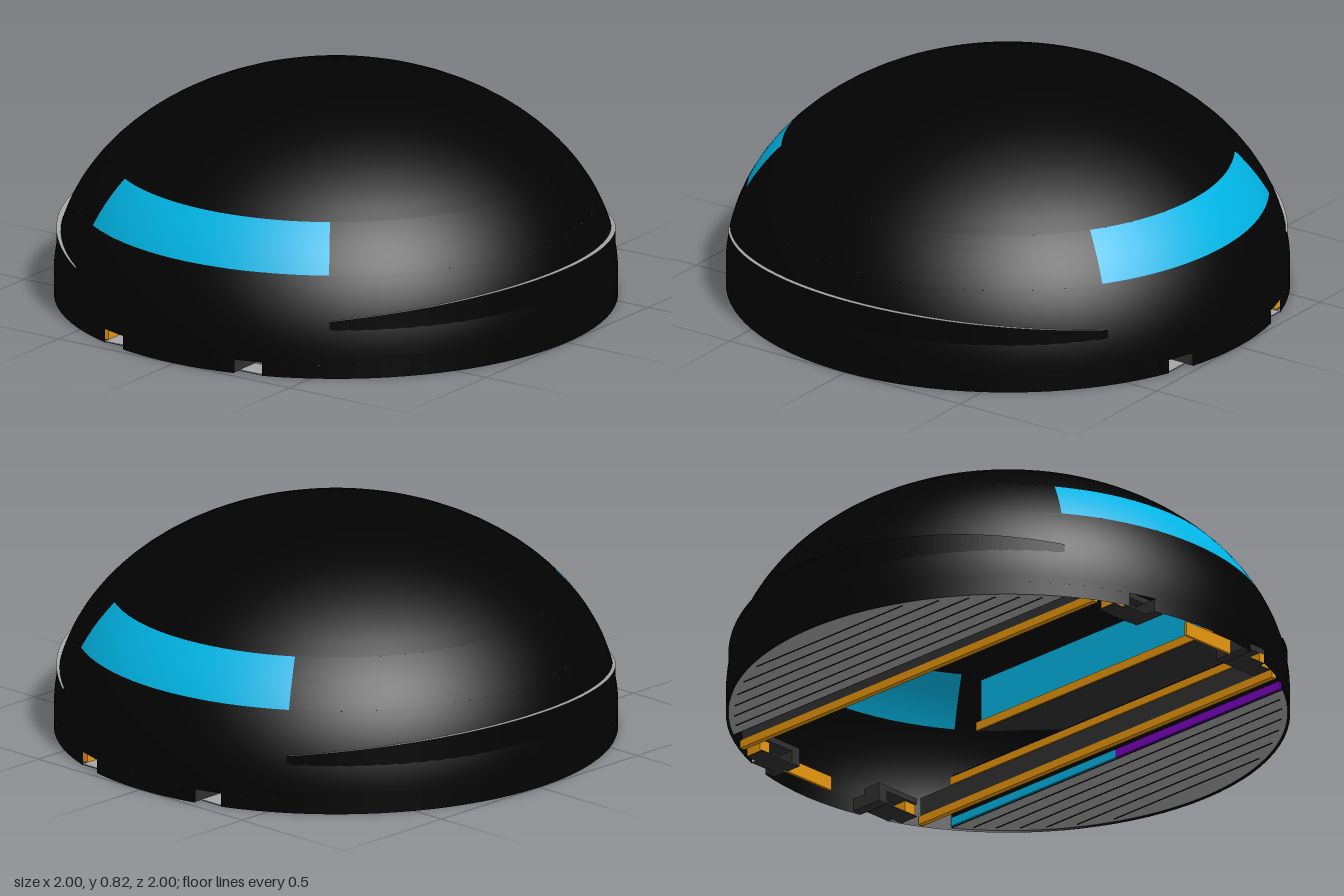
import * as THREE from 'three';

const mat = (name, color, side = THREE.FrontSide) => {
  const m = new THREE.MeshStandardMaterial({ color, side });
  m.name = name;
  return m;
};

export function createModel() {
  const black = mat('shell black', 0x020202, THREE.DoubleSide);
  const cyan = mat('cyan glass', 0x00b4e4, THREE.DoubleSide);
  const gray = mat('deck gray', 0xa6a6a6);
  const dark = mat('dark gray', 0x303030);
  const orange = mat('orange trim', 0xf8a20a);
  const purple = mat('purple light', 0x7a00c0);

  const model = new THREE.Group();
  model.name = 'domedPod';
  const add = (parent, name, geo, m) => {
    const mesh = new THREE.Mesh(geo, m);
    mesh.name = name;
    parent.add(mesh);
    return mesh;
  };
  // box given by its limits on each axis
  const box = (parent, name, m, x0, x1, y0, y1, z0, z1) =>
    add(parent, name, new THREE.BoxGeometry(x1 - x0, y1 - y0, z1 - z0), m)
      .position.set((x0 + x1) / 2, (y0 + y1) / 2, (z0 + z1) / 2);

  // Dome: an ellipse standing on a short straight skirt
  const BASE = 0.08, RISE = 0.74;
  const shell = (name, m, y0, y1, from, to) => {
    const pts = [];
    if (y1 <= BASE) pts.push(new THREE.Vector2(1, y0), new THREE.Vector2(1, y1));
    else {
      const t0 = Math.asin((y0 - BASE) / RISE);
      const t1 = Math.asin(Math.min(1, (y1 - BASE) / RISE));
      for (let i = 0; i <= 14; i++) {
        const t = t0 + (t1 - t0) * i / 14;
        pts.push(new THREE.Vector2(Math.max(0, Math.cos(t)), BASE + RISE * Math.sin(t)));
      }
    }
    const seg = Math.max(2, Math.ceil((to - from) / (Math.PI * 2) * 96));
    add(model, name, new THREE.LatheGeometry(pts, seg, from, to - from), m);
  };
  const TAU = Math.PI * 2, HALF = Math.PI / 2;
  shell('skirt', black, 0.05, BASE, 0, TAU);
  shell('lowerDome', black, BASE, 0.36, 0, TAU);
  shell('upperDome', black, 0.52, BASE + RISE, 0, TAU);
  const W = 0.585;                                  // half angle of a window
  const n0 = Math.asin(0.24), n1 = Math.asin(0.34); // notch limits
  for (const c of [HALF, 3 * HALF]) {
    shell('sideWindow', cyan, 0.36, 0.52, c - W, c + W);
    shell('windowPillar', black, 0.36, 0.52, c + W, c + Math.PI - W);
    // skirt foot, leaving two notches on each side
    shell('skirtFoot', black, 0, 0.05, c - n0, c + n0);
    shell('skirtFoot', black, 0, 0.05, c + n1, c + Math.PI - n1);
  }

  // One end: deck with a sloping top, inner wall and console (built at -z)
  const buildEnd = name => {
    const end = new THREE.Group();
    end.name = name;
    const R = 0.991, CUT = 0.55, a = Math.asin(CUT / R);
    const shape = new THREE.Shape();
    shape.absarc(0, 0, R, a, Math.PI - a, false);
    shape.closePath();
    const geo = new THREE.ExtrudeGeometry(shape, { depth: 0.2, bevelEnabled: false, curveSegments: 48 });
    geo.rotateX(-HALF);
    const p = geo.attributes.position;
    for (let i = 0; i < p.count; i++) {
      p.setY(i, p.getY(i) > 0.1 ? 0.21 + 0.14 * (-p.getZ(i) - 0.56) : 0.004);
    }
    geo.computeVertexNormals();
    add(end, 'deck', geo, [gray, black]);
    // grooves under the deck
    for (let z = 0.6; z < 0.95; z += 0.06) {
      const h = Math.sqrt(0.97 ** 2 - z * z);
      box(end, 'deckGroove', black, -h, h, 0.002, 0.006, -z - 0.002, -z + 0.002);
    }
    // two-tone light strip on the deck's inner edge
    box(end, 'purpleStrip', purple, 0, 0.82, 0.008, 0.04, -0.55, -0.542);
    box(end, 'cyanStrip', cyan, -0.82, 0, 0.008, 0.04, -0.55, -0.542);
    // low inner wall with orange edging
    box(end, 'lowerWall', dark, -0.87, 0.87, 0.03, 0.1, -0.46, -0.44);
    box(end, 'lowerTrim', orange, -0.88, 0.88, 0, 0.03, -0.46, -0.44);
    box(end, 'middleTrim', orange, -0.72, 0.72, 0.1, 0.13, -0.46, -0.435);
    // tapered console desk carrying a cyan screen
    const desk = new THREE.Shape([[-0.64, 0.49], [0.64, 0.49], [0.4, 0.7], [-0.4, 0.7]]
      .map(([x, y]) => new THREE.Vector2(x, y)));
    const deskGeo = new THREE.ExtrudeGeometry(desk, { depth: 0.03, bevelEnabled: false });
    add(end, 'consoleDesk', deskGeo.rotateX(-HALF).translate(0, 0.3, 0), dark);
    box(end, 'upperTrim', orange, -0.64, 0.64, 0.302, 0.335, -0.5, -0.485);
    box(end, 'screen', cyan, -0.62, 0.62, 0.335, 0.495, -0.5, -0.49);
    return end;
  };
  const front = buildEnd('frontEnd');
  front.rotation.y = Math.PI;
  model.add(buildEnd('backEnd'), front);

  // Sides: notch frames with a sill, and a plate between them
  for (const s of [0, 1]) {
    const side = new THREE.Group();
    side.name = s ? 'rightSide' : 'leftSide';
    side.rotation.y = s * Math.PI;
    for (const k of [-1, 1]) {
      const frame = new THREE.Group();
      frame.name = 'notchFrame';
      // mirrored box: distances along z are measured from the middle
      const part = (name, m, x0, x1, y0, y1, near, far) =>
        box(frame, name, m, x0, x1, y0, y1, Math.min(k * near, k * far), Math.max(k * near, k * far));
      part('frameTop', dark, 0.84, 0.915, 0.05, 0.072, 0.2, 0.39);
      part('innerPost', dark, 0.84, 0.968, 0.002, 0.05, 0.2, 0.24);
      part('outerPost', orange, 0.85, 0.915, 0.004, 0.05, 0.342, 0.39);
      part('sillTop', gray, 0.84, 0.937, 0.002, 0.004, 0.24, 0.342);
      part('sillBottom', dark, 0.84, 0.937, 0, 0.002, 0.24, 0.342);
      part('postFoot', dark, 0.84, 0.915, 0, 0.004, 0.342, 0.39);
      side.add(frame);
    }
    box(side, 'middlePlate', orange, 0.9, 0.91, 0.002, 0.055, -0.21, 0.02);
    model.add(side);
  }
  return model;
}
